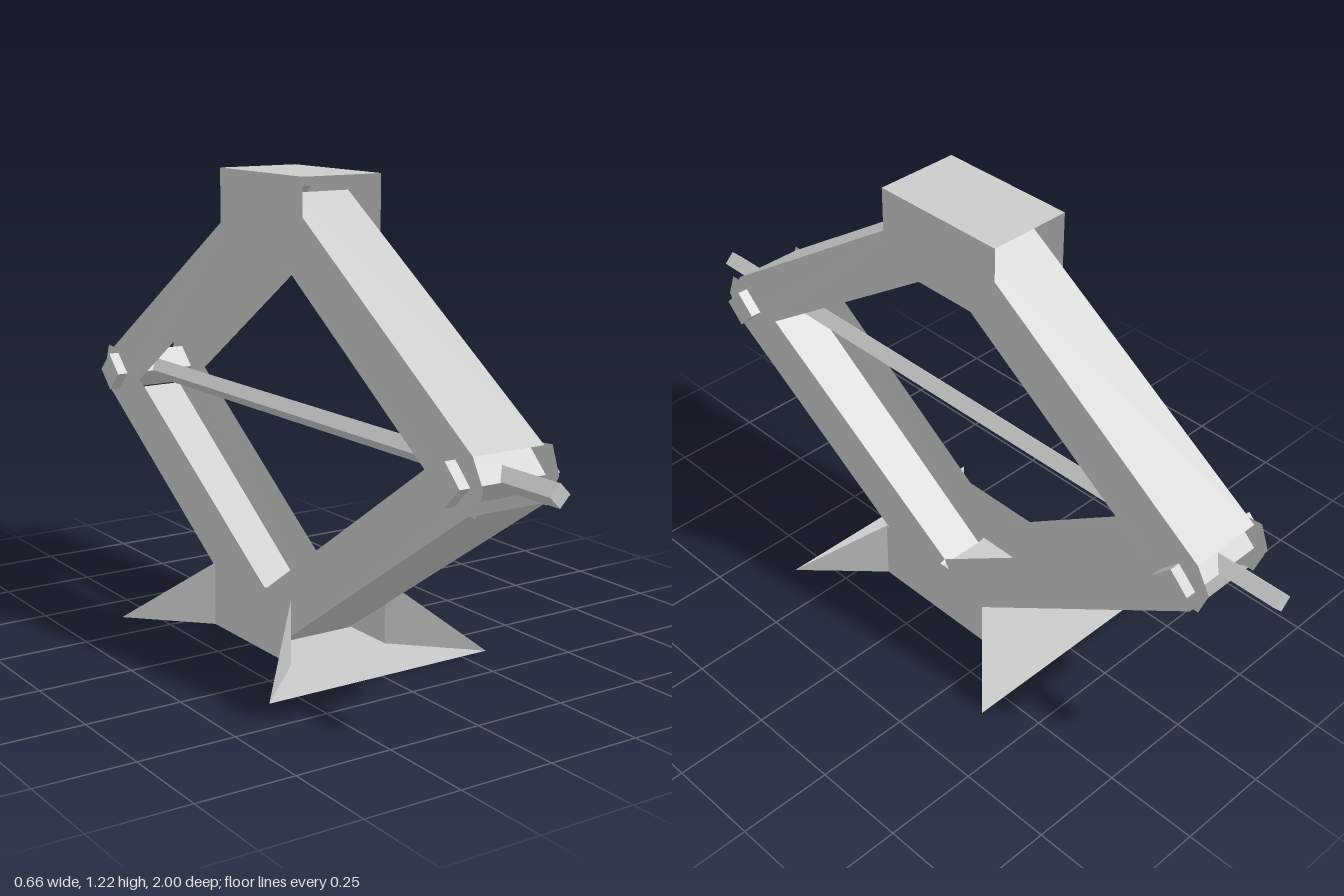
import * as THREE from 'three';

const material = new THREE.MeshStandardMaterial({ color: 0xcccccc, flatShading: true, side: THREE.DoubleSide });
const PIVOT_Z = 0.787, PIVOT_Y = 0.597;

// Sheet-metal surface from a list of convex polygons ([x, y, z] corners)
function sheet(name, polygons) {
  const pos = [];
  for (const p of polygons) {
    for (let i = 1; i < p.length - 1; i++) pos.push(...p[0], ...p[i], ...p[i + 1]);
  }
  const geometry = new THREE.BufferGeometry();
  geometry.setAttribute('position', new THREE.Float32BufferAttribute(pos, 3));
  geometry.computeVertexNormals();
  const mesh = new THREE.Mesh(geometry, material);
  mesh.name = name;
  return mesh;
}

// Square bar standing on its edge, lying along x or z
function bar(name, radius, length, axis) {
  const geometry = new THREE.CylinderGeometry(radius, radius, length, 4);
  if (axis === 'x') geometry.rotateZ(Math.PI / 2);
  else geometry.rotateX(Math.PI / 2);
  const mesh = new THREE.Mesh(geometry, material);
  mesh.name = name;
  return mesh;
}

// Tapered channel arm: outer web plus two flanges with a chamfered pivot end.
// s runs from the pivot towards the middle, t across the channel.
function arm(name, front, up, pivotHalf, endHalf) {
  const L = 0.907;
  const place = (side, [s, t]) => [
    side * (pivotHalf + (endHalf - pivotHalf) * Math.max(s, 0) / L),
    PIVOT_Y + up * (0.562 * s - 0.827 * t),
    front * (PIVOT_Z - 0.827 * s - 0.562 * t),
  ];
  const flange = [[L, -0.08], [0, -0.08], [-0.07, -0.045], [-0.087, 0.024], [-0.014, 0.068], [L, 0.066]];
  const sides = [1, -1].map((side) => {
    const points = flange.map((p) => place(side, p));
    return side * front * up > 0 ? points : points.reverse();
  });
  const web = [place(1, flange[0]), place(1, flange[1]), place(-1, flange[1]), place(-1, flange[0])];
  return sheet(name, [...sides, front * up > 0 ? web.reverse() : web]);
}

// Base: hourglass floor, side walls and slanted corner gussets
function base() {
  const X = 0.146, Z = 0.187, H = 0.172, FX = 0.33, FZ = 0.375;
  const polygons = [[[-X, 0, -Z], [X, 0, -Z], [X, 0, Z], [-X, 0, Z]]];
  for (const k of [1, -1]) {
    polygons.push([[-FX, 0, k * FZ], [-X, 0, k * Z], [X, 0, k * Z], [FX, 0, k * FZ]]);
    polygons.push([[k * X, 0, -Z], [k * X, H, -Z], [k * X, H, Z], [k * X, 0, Z]]);
    for (const j of [1, -1]) polygons.push([[k * X, 0, j * Z], [k * X, H, j * Z], [k * FX, 0, j * FZ]]);
  }
  return sheet('base', polygons);
}

// Saddle: inverted channel, open at both ends and below
function saddle() {
  const X = 0.115, Z = 0.192, B = 1.01, T = 1.22;
  return sheet('saddle', [
    [[-X, T, Z], [X, T, Z], [X, T, -Z], [-X, T, -Z]],
    [[X, B, Z], [X, B, -Z], [X, T, -Z], [X, T, Z]],
    [[-X, B, -Z], [-X, B, Z], [-X, T, Z], [-X, T, -Z]],
  ]);
}

export function createModel() {
  const model = new THREE.Group();
  model.name = 'scissorJack';
  model.add(base(), saddle());

  for (const front of [1, -1]) {
    const end = front > 0 ? 'front' : 'back';
    model.add(arm(end + 'LowerArm', front, -1, 0.113, 0.104));
    model.add(arm(end + 'UpperArm', front, 1, 0.101, 0.094));
    // Pivot pin through both arms
    const pin = bar(end + 'PivotPin', 0.053, 0.284, 'x');
    pin.position.set(0, PIVOT_Y, front * PIVOT_Z);
    model.add(pin);
  }

  // Drive screw through both pivots
  const screw = bar('driveScrew', 0.028, 2, 'z');
  screw.position.y = PIVOT_Y + 0.002;
  model.add(screw);
  return model;
}
